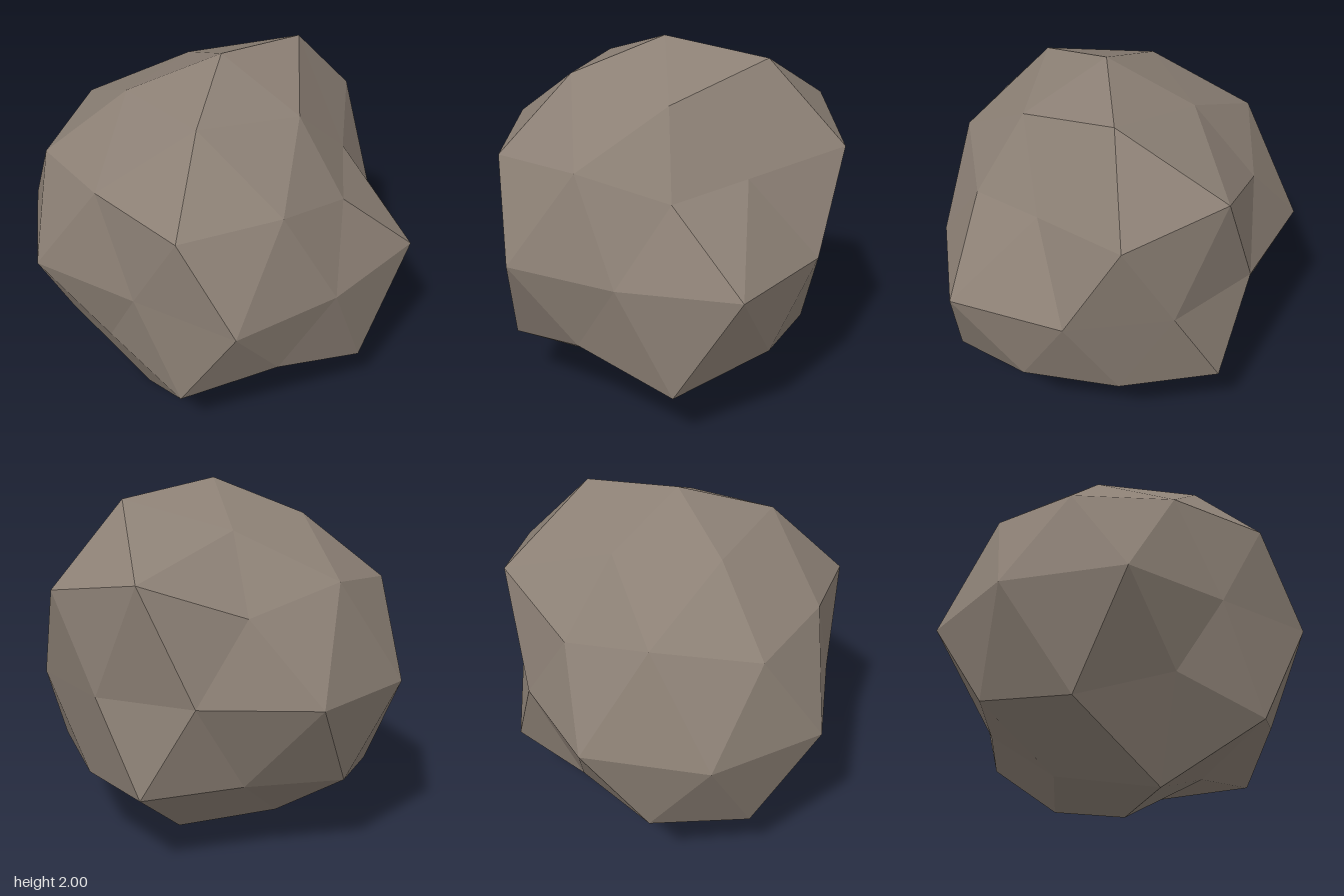
import * as THREE from 'three';

// Radii of each ring of a once-subdivided icosphere, stepping from +x towards +z.
// lat: [height, ring radius], start: first angle in degrees, step: angle between points
const RINGS = {
  top:        { h: 1, w: 0, start: 0, step: 72, r: [0.982] },
  cap:        { h: 0.8507, w: 0.5257, start: 0, step: 72, r: [1.066, 0.9, 0.986, 0.945, 0.912] },
  upper:      { h: 0.4472, w: 0.8944, start: 0, step: 72, r: [1.1, 0.845, 1.037, 1.06, 0.92] },
  upperMid:   { h: 0.5257, w: 0.8507, start: 36, step: 72, r: [0.8, 0.952, 0.98, 1.03, 1.115] },
  equator:    { h: 0, w: 1, start: 18, step: 36,
    r: [0.962, 1.093, 0.939, 1.043, 0.861, 1.075, 1.115, 1.1, 0.92, 0.925] },
  lower:      { h: -0.4472, w: 0.8944, start: 36, step: 72, r: [0.987, 0.93, 0.89, 1.05, 1.065] },
  lowerMid:   { h: -0.5257, w: 0.8507, start: 0, step: 72, r: [0.943, 1.097, 1.044, 1.043, 0.88] },
  base:       { h: -0.8507, w: 0.5257, start: 36, step: 72, r: [0.817, 0.815, 1.043, 0.893, 0.927] },
  bottom:     { h: -1, w: 0, start: 0, step: 72, r: [0.892] },
};
const CENTRE = new THREE.Vector3(0.019, 0.954, 0.08);
const STRETCH = new THREE.Vector3(1, 1.065, 0.98);

// Point i of a ring, wrapping round
function point(name, i = 0) {
  const { h, w, start, step, r } = RINGS[name];
  const k = i % r.length;
  const a = THREE.MathUtils.degToRad(start + step * k);
  return new THREE.Vector3(w * Math.cos(a), h, w * Math.sin(a))
    .multiplyScalar(r[k]).multiply(STRETCH).add(CENTRE);
}

export function createModel() {
  const group = new THREE.Group();
  group.name = 'boulder';
  const positions = [];

  // One large triangle split into four through its edge midpoints
  const split = (a, b, c, ab, bc, ca) => {
    for (const v of [a, ab, ca, ab, b, bc, ca, bc, c, ab, bc, ca]) positions.push(v.x, v.y, v.z);
  };

  for (let i = 0; i < 5; i++) {
    const j = i + 1;
    const u0 = point('upper', i), u1 = point('upper', j);
    const l0 = point('lower', i), l1 = point('lower', j);
    const eMid = point('equator', 2 * i + 1);
    // crown
    split(point('top'), u1, u0, point('cap', j), point('upperMid', i), point('cap', i));
    // girdle, pointing down and up
    split(u0, u1, l0, point('upperMid', i), eMid, point('equator', 2 * i));
    split(u1, l1, l0, point('equator', 2 * i + 2), point('lowerMid', j), eMid);
    // underside
    split(l0, l1, point('bottom'), point('lowerMid', j), point('base', j), point('base', i));
  }

  const geometry = new THREE.BufferGeometry();
  geometry.setAttribute('position', new THREE.Float32BufferAttribute(positions, 3));
  geometry.computeVertexNormals(); // unshared corners give flat facets

  const stone = new THREE.MeshStandardMaterial({ color: 0x8c8075 });
  stone.name = 'stone';
  stone.flatShading = true;
  const rock = new THREE.Mesh(geometry, stone);
  rock.name = 'rock';
  group.add(rock);
  return group;
}
